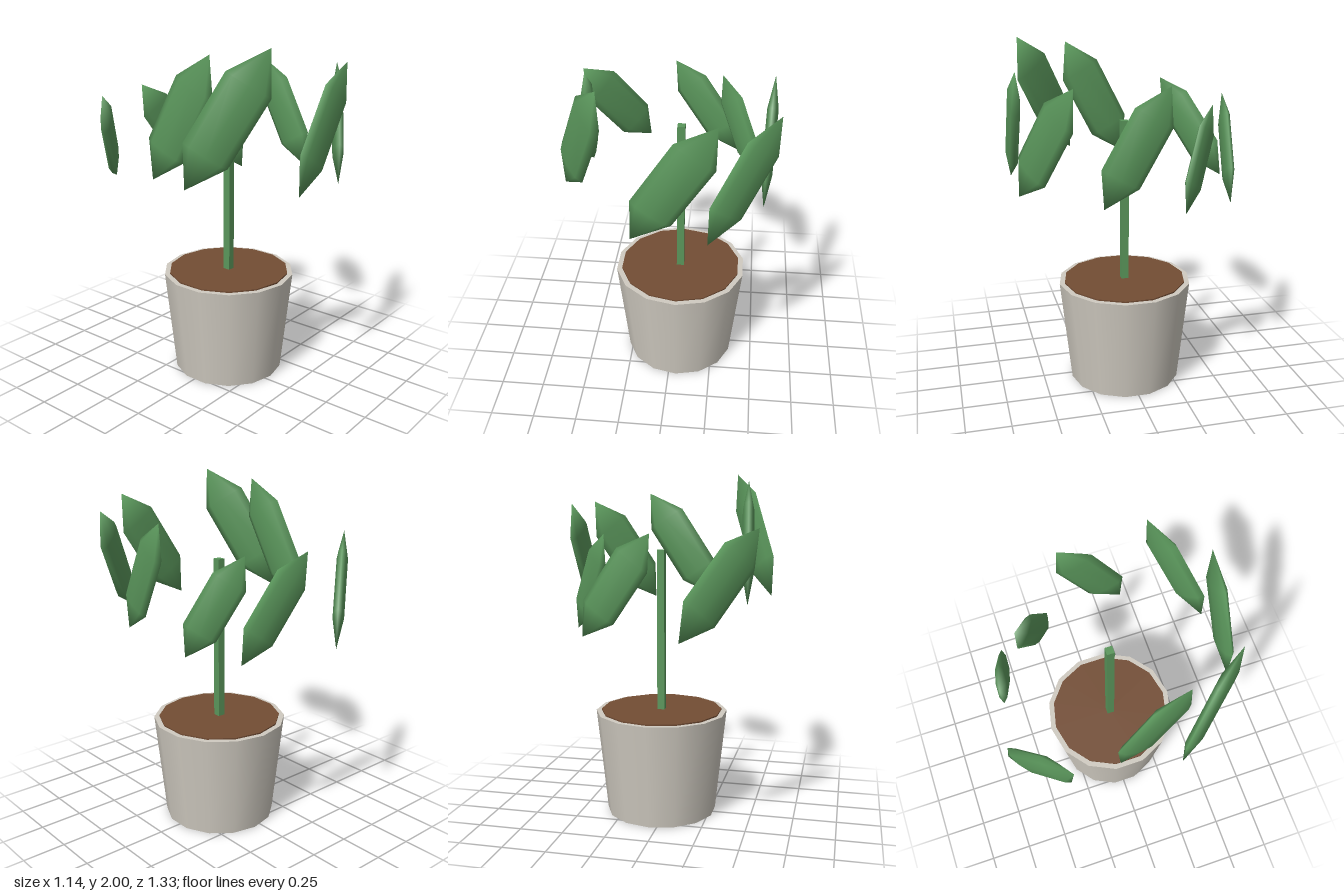
import * as THREE from 'three';

const CX = 0.045, CZ = 0.008;

// Tips of each leaf: [top xyz, bottom xyz]
const LEAVES = [
  [[0.267, 1.88, 0.63], [-0.162, 1.228, 0.63]],
  [[0.567, 1.83, 0.39], [0.23, 1.215, 0.63]],
  [[0.54, 1.82, -0.11], [0.512, 1.197, 0.23]],
  [[0.25, 1.665, -0.436], [0.474, 1.127, -0.224]],
  [[-0.038, 1.677, -0.595], [0.347, 1.13, -0.524]],
  [[-0.563, 1.7, -0.376], [-0.204, 1.138, -0.667]],
  [[-0.472, 1.265, -0.105], [-0.422, 1.952, 0.252]],
  [[-0.573, 1.285, 0.208], [-0.315, 1.995, 0.547]],
];

export function createModel() {
  const group = new THREE.Group();
  const mat = (name, color) => {
    const m = new THREE.MeshStandardMaterial({ color });
    m.name = name;
    return m;
  };
  const ceramic = mat('warm grey', 0xcfcac0);
  const earth = mat('soil brown', 0x734d34);
  const green = mat('leaf green', 0x5a965b);

  const add = (name, geometry, material, y) => {
    const mesh = new THREE.Mesh(geometry, material);
    mesh.name = name;
    mesh.position.set(CX, y, CZ);
    group.add(mesh);
    return mesh;
  };

  // Tapered pot with a disc of soil just proud of the rim
  add('pot', new THREE.CylinderGeometry(0.388, 0.324, 0.61, 14), ceramic, 0.305);
  add('soil', new THREE.CylinderGeometry(0.357, 0.355, 0.03, 14), earth, 0.603);

  // Square stem
  add('stem', new THREE.BoxGeometry(0.043, 0.96, 0.043), green, 1.08);

  // Flattened, faceted leaves standing in upright planes around the stem
  const leafGeometry = new THREE.SphereGeometry(1, 8, 3);
  const up = new THREE.Vector3(0, 1, 0);
  LEAVES.forEach(([a, b], i) => {
    const top = new THREE.Vector3(...a), bottom = new THREE.Vector3(...b);
    const along = top.clone().sub(bottom);
    const half = along.length() / 2;
    along.normalize();
    const normal = along.clone().cross(up).normalize();
    const across = along.clone().cross(normal);
    const leaf = add('leaf' + (i + 1), leafGeometry, green, 0);
    leaf.position.copy(top).add(bottom).multiplyScalar(0.5);
    leaf.quaternion.setFromRotationMatrix(new THREE.Matrix4().makeBasis(across, along, normal));
    leaf.scale.set(half * 0.365, half, half * 0.1);
  });

  return group;
}
